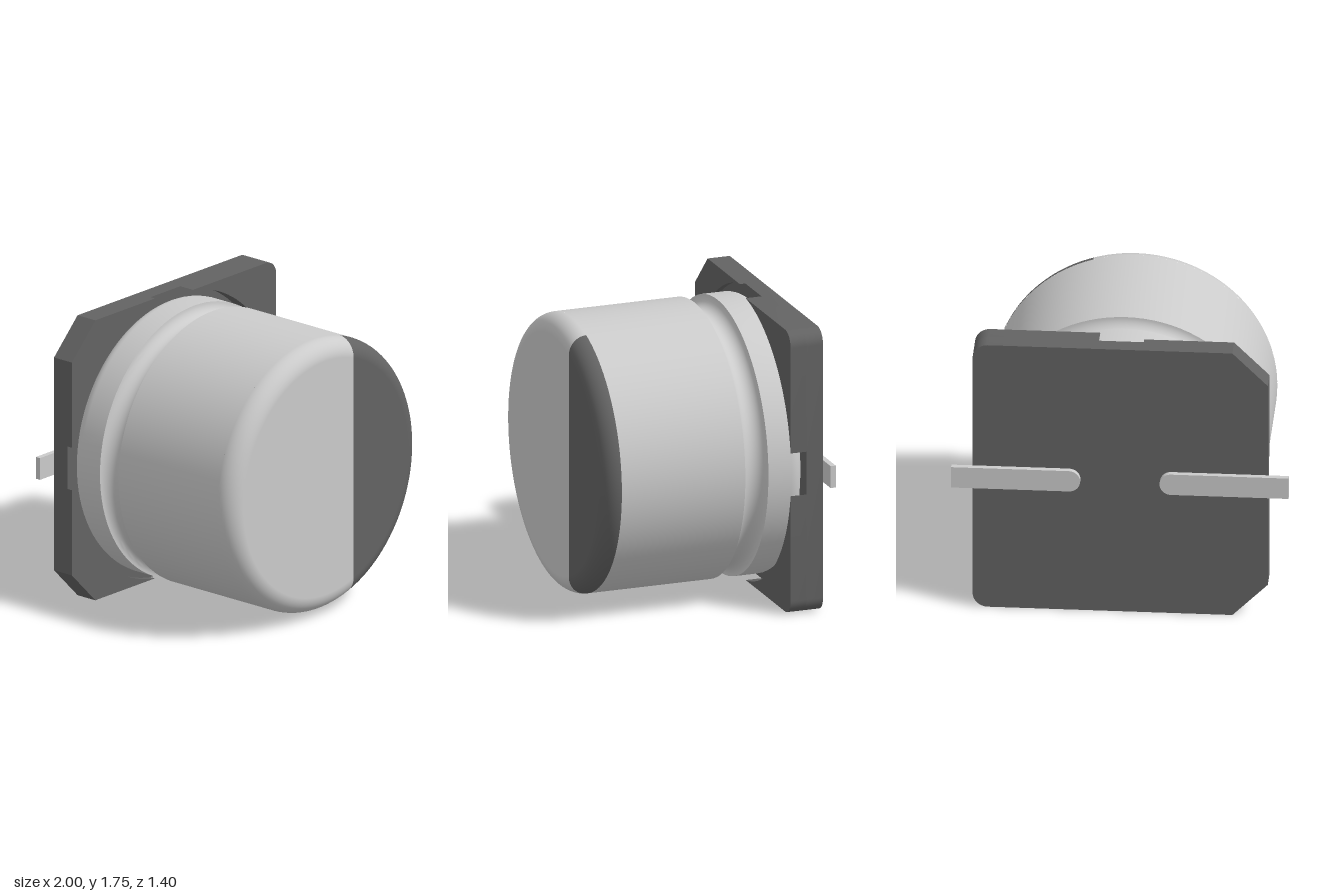
import * as THREE from 'three';
import { toCreasedNormals } from 'three/addons/utils/BufferGeometryUtils.js';

const CY = 0.875;       // height of the can axis
const H = 0.875;        // half width of the base
const R = 0.84;         // can radius
const RECESS = 0.885;   // radius of the round seat, slightly wider than the base
const FRONT = 0.7, FILLET = 0.11, MARK_X = 0.25;
const BACK = -0.67, FLOOR = -0.565;

const metal = new THREE.MeshStandardMaterial({ color: 0xcccccc });
const dark = new THREE.MeshStandardMaterial({ color: 0x636363 });

function part(name, geometry, material) {
  const mesh = new THREE.Mesh(geometry, material);
  mesh.name = name;
  return mesh;
}

// Flat shape extruded from z0 to z1
function slab(points, z0, z1) {
  const geo = new THREE.ExtrudeGeometry(new THREE.Shape(points), { depth: z1 - z0, bevelEnabled: false });
  return toCreasedNormals(geo.translate(0, 0, z0), 0.5);
}

function arc(cx, cy, r, a0, a1, n) {
  return Array.from({ length: n + 1 }, (_, i) => {
    const a = a0 + (a1 - a0) * i / n;
    return new THREE.Vector2(cx + r * Math.cos(a), cy + r * Math.sin(a));
  });
}

// Outer corner of the base: rounded on the +x side, chamfered on the -x side
function corner(sx, sy) {
  const pts = sx > 0
    ? arc(H - 0.09, H - 0.09, 0.09, 0, Math.PI / 2, 10)
    : [new THREE.Vector2(H, H - 0.21), new THREE.Vector2(H - 0.21, H)];
  return pts.map(p => new THREE.Vector2(p.x * sx, p.y * sy));
}

// Grooved can wall, closed at the back
function canGeometry() {
  const groove = arc(R, -0.265, 0.073, -Math.PI / 2, -Math.PI * 1.5, 20);
  const pts = [
    new THREE.Vector2(0, FLOOR),
    ...arc(R - 0.08, FLOOR + 0.08, 0.08, -Math.PI / 2, 0, 8),
    ...groove,
    new THREE.Vector2(R, FRONT - FILLET),
  ];
  return toCreasedNormals(new THREE.LatheGeometry(pts, 96).rotateX(Math.PI / 2), 0.6);
}

// Front cap on one side of the line x = MARK_X, swept ring by ring
function capGeometry(isMark) {
  const rows = [{ r: MARK_X, z: FRONT, n: 0 }];
  if (!isMark) rows.unshift({ r: 0, z: FRONT, n: 0 });
  for (let i = 0; i <= 12; i++) {
    const t = i / 12 * Math.PI / 2;
    rows.push({ r: R - FILLET + FILLET * Math.sin(t), z: FRONT - FILLET + FILLET * Math.cos(t), n: t });
  }
  const seg = 72, pos = [], nor = [], idx = [];
  rows.forEach((row, j) => {
    const cut = row.r > MARK_X ? Math.acos(MARK_X / row.r) : 0;
    const a0 = isMark ? -cut : cut, a1 = isMark ? cut : 2 * Math.PI - cut;
    for (let i = 0; i <= seg; i++) {
      const a = a0 + (a1 - a0) * i / seg, c = Math.cos(a), s = Math.sin(a);
      pos.push(row.r * c, row.r * s, row.z);
      nor.push(Math.sin(row.n) * c, Math.sin(row.n) * s, Math.cos(row.n));
      if (j && i) {
        const d = j * (seg + 1) + i, b = d - seg - 1;
        idx.push(b - 1, d - 1, d, b - 1, d, b);
      }
    }
  });
  const geo = new THREE.BufferGeometry();
  geo.setAttribute('position', new THREE.Float32BufferAttribute(pos, 3));
  geo.setAttribute('normal', new THREE.Float32BufferAttribute(nor, 3));
  geo.setIndex(idx);
  return geo;
}

export function createModel() {
  const model = new THREE.Group();
  model.name = 'surfaceMountCapacitor';

  // Can
  const can = new THREE.Group();
  can.name = 'can';
  can.add(
    part('canWall', canGeometry(), metal),
    part('canCap', capGeometry(false), metal),
    part('polarityMark', capGeometry(true), dark),
  );

  // Base plate with four raised corners around the round seat
  const base = new THREE.Group();
  base.name = 'base';
  const outline = [
    ...corner(1, 1), ...corner(-1, 1).reverse(),
    ...corner(-1, -1), ...corner(1, -1).reverse(),
  ];
  base.add(part('basePlate', slab(outline, BACK, FLOOR), dark));
  const a = Math.acos(H / RECESS);
  for (const sx of [1, -1]) {
    for (const sy of [1, -1]) {
      const seat = arc(0, 0, RECESS, Math.PI / 2 - a, a, 24)
        .map(p => new THREE.Vector2(p.x * sx, p.y * sy));
      const top = sx > 0 ? -0.465 : -0.53;
      base.add(part('baseCorner', slab([...corner(sx, sy), ...seat], FLOOR, top), dark));
    }
  }

  // Flat leads with rounded inner ends
  const w = 0.068;
  const leadShape = [
    new THREE.Vector2(1, -w), new THREE.Vector2(1, w),
    ...arc(0.235 + w, 0, w, Math.PI / 2, Math.PI * 1.5, 16),
  ];
  for (const side of [1, -1]) {
    const lead = part(side > 0 ? 'leftLead' : 'rightLead', slab(leadShape, -0.703, BACK), metal);
    // half turn about the can axis gives the opposite lead
    if (side < 0) lead.rotation.z = Math.PI;
    model.add(lead);
  }

  model.add(can, base);
  model.children.forEach(child => { child.position.y = CY; });
  return model;
}
